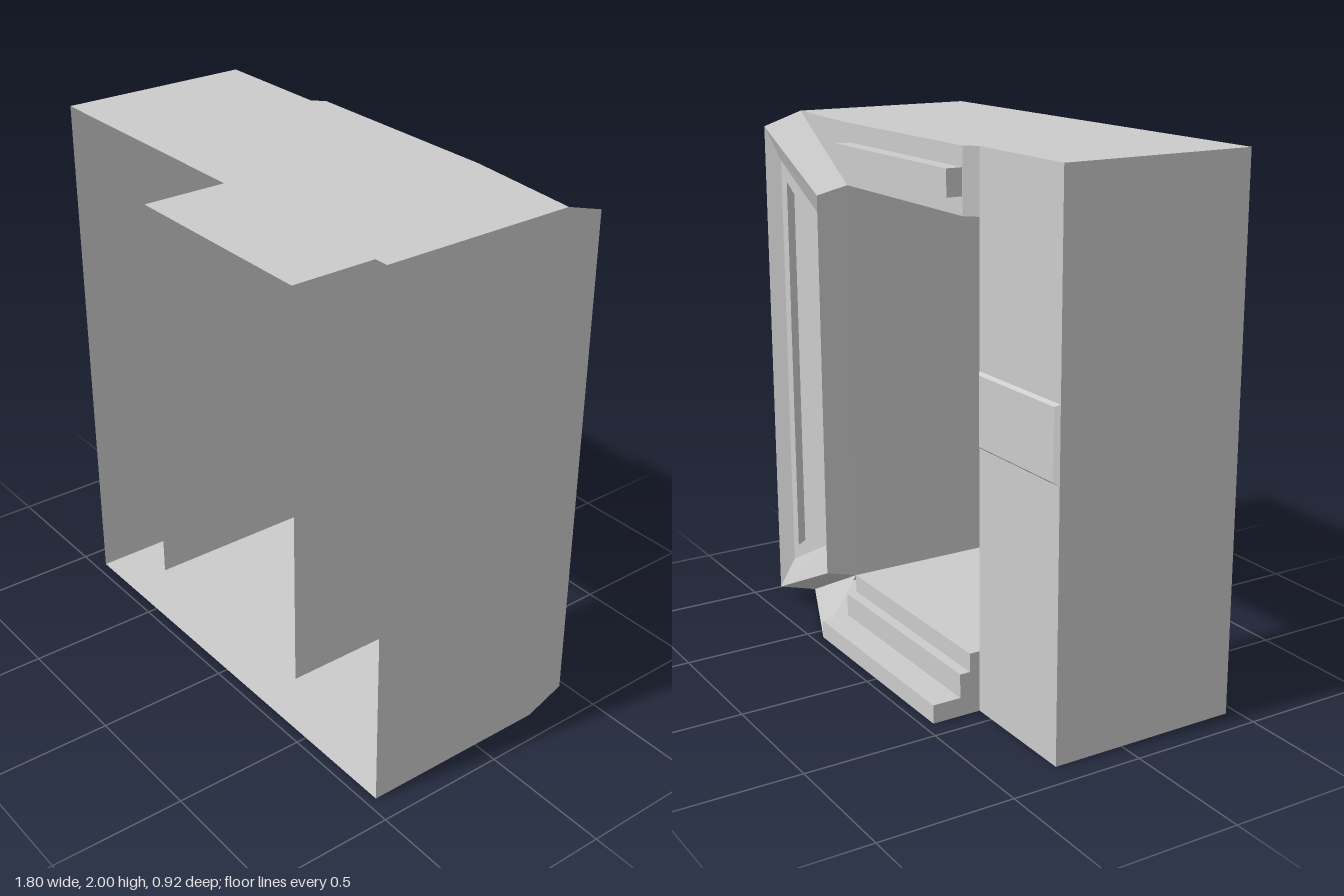
import * as THREE from 'three';

const material = new THREE.MeshStandardMaterial({ color: 0xcccccc, side: THREE.DoubleSide, flatShading: true });

// Each face is a convex loop of [x, y, z] corners, counter-clockwise from outside
function addPart(group, name, faces) {
  const positions = [];
  for (const f of faces) {
    for (let i = 1; i < f.length - 1; i++) positions.push(...f[0], ...f[i], ...f[i + 1]);
  }
  const geometry = new THREE.BufferGeometry();
  geometry.setAttribute('position', new THREE.Float32BufferAttribute(positions, 3));
  geometry.computeVertexNormals();
  const mesh = new THREE.Mesh(geometry, material);
  mesh.name = name;
  group.add(mesh);
}

// Faces joining a series of loops, closed by the last loop
function loft(rings) {
  const faces = [rings[rings.length - 1]];
  for (let k = 0; k < rings.length - 1; k++) {
    const a = rings[k], b = rings[k + 1];
    a.forEach((p, i) => {
      const j = (i + 1) % a.length;
      faces.push([p, a[j], b[j], b[i]]);
    });
  }
  return faces;
}

// Rectangle facing the back
const backRect = (x0, x1, y0, y1, z) => [[x1, y0, z], [x0, y0, z], [x0, y1, z], [x1, y1, z]];
// Trapezoid facing the back, tall on its outer side
const trapezoid = (xIn, xOut, inLow, outLow, zIn, zOut = zIn) => [
  [xOut, outLow, zOut], [xIn, inLow, zIn], [xIn, 2 - inLow, zIn], [xOut, 2 - outLow, zOut]];
// Horizontal loop from [x, z] pairs
const flat = (y, pairs) => pairs.map(([x, z]) => [x, y, z]);

export function createModel() {
  const model = new THREE.Group();
  const W = 0.9, F = 0.46, B = -0.27, P = -0.31;   // half width, front, back, panel depth
  const L = -0.42, R = 0.44, low = 0.23, high = 1.77; // opening

  // Outer walls, open at the front
  addPart(model, 'sideWalls', [
    [[-W, 0, B], [-W, 0, F], [-W, 2, F], [-W, 2, B]],
    [[W, 0, F], [W, 0, B], [W, 2, B], [W, 2, F]],
  ]);
  addPart(model, 'topWall', [
    flat(2, [[W, B], [-W, B], [-W, F], [W, F]]),
    flat(2, [[L, B], [W, B], [R, P], [-0.38, P]]),
  ]);
  addPart(model, 'bottomWall', [
    flat(0, [[-W, F], [-W, B], [W, B], [W, F]]),
    flat(0, [[W, B], [L, B], [L, -F], [R, -F]]),
  ]);

  // Lining of the through opening
  addPart(model, 'openingLining', [
    [[L, low, F], [L, low, B], [L, high, B], [L, high, F]],
    [[R, low, P], [R, low, F], [R, high, F], [R, high, P]],
    flat(low, [[R, P], [L, P], [L, F], [R, F]]),
    flat(high, [[R, F], [L, F], [L, B], [-0.38, P], [R, P]]),
  ]);

  // Flat back panel with a slightly raised band
  addPart(model, 'flatPanel', [backRect(-W, L, 0, 0.98, B), backRect(-W, L, 1.25, 2, B)]);
  addPart(model, 'raisedBand', loft([
    backRect(-W, L, 0.98, 1.25, B),
    backRect(-0.88, L - 0.015, 0.99, 1.24, B - 0.012),
  ]));

  // Lintel with its bar, bevelled end and sloping corner
  addPart(model, 'lintel', [
    ...loft([
      backRect(-0.38, R, high, 2, P),
      backRect(-0.378, 0.405, 1.835, 1.93, P),
      backRect(-0.378, 0.405, 1.835, 1.93, -0.37),
    ]),
    [[-0.38, high, P], [L, high, B], [L, 2, B], [-0.38, 2, P]],
    [[W, 2, B], [R, high, P], [R, 2, P]],
  ]);

  // Stepped sill: profile points are [y, z]
  const steps = [[0, -F], [0.07, -F], [0.07, -0.35], [0.16, -0.35], [0.16, P], [low, P]];
  const sill = [[[W, 0, B], [R, 0, -F], [R, low, P]]];
  for (let i = 0; i < steps.length - 1; i++) {
    const [y0, z0] = steps[i], [y1, z1] = steps[i + 1];
    sill.push([[R, y0, z0], [L, y0, z0], [L, y1, z1], [R, y1, z1]]);
    if (y1 > y0) {
      sill.push([[L, y0, z0], [L, y0, B], [L, y1, B], [L, y1, z0]]);
      sill.push([[R, y0, B], [R, y0, z0], [R, y1, z0], [R, y1, B]]);
    }
  }
  addPart(model, 'steppedSill', sill);

  // Raised trapezoid frame with sloping bezel and recessed panel
  addPart(model, 'raisedFrame', loft([
    trapezoid(R, W, low, 0, P, B),
    trapezoid(0.45, 0.89, 0.26, 0.05, -0.43),
    trapezoid(0.5, 0.845, 0.36, 0.18, -0.385),
    trapezoid(0.54, 0.8, 0.425, 0.255, -0.385),
    trapezoid(0.54, 0.8, 0.425, 0.255, -0.355),
  ]));

  return model;
}
